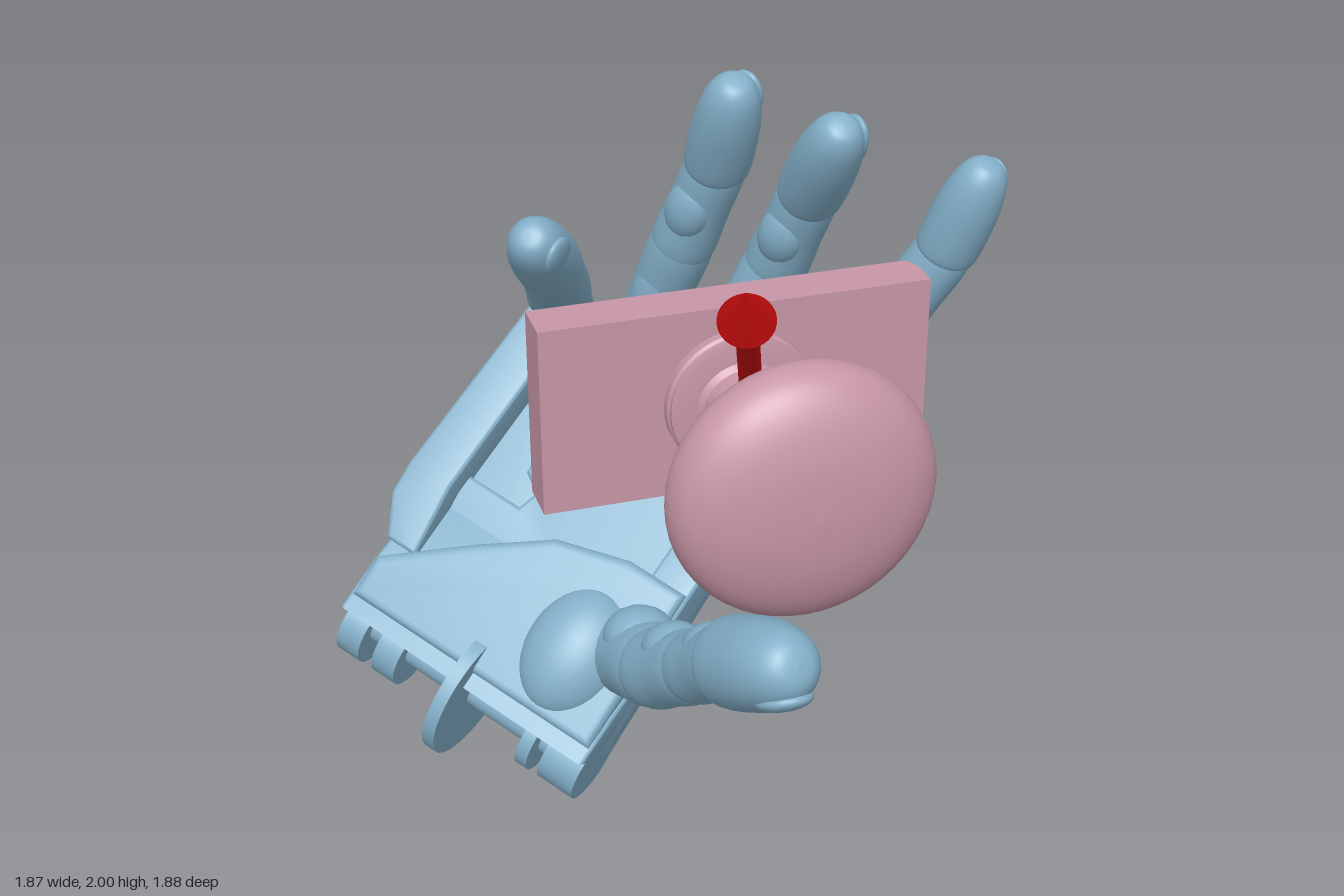
import * as THREE from 'three';
import { toCreasedNormals } from 'three/addons/utils/BufferGeometryUtils.js';

const paint = (color) => new THREE.MeshStandardMaterial({ color, side: THREE.DoubleSide });
const V = (a) => new THREE.Vector3(...a);
const UP = new THREE.Vector3(0, 1, 0);

// Hand frame: U runs wrist to knuckles, Vd from index to little finger, W out of the palm
const U = new THREE.Vector3(0.65, 0.70, -0.29).normalize();
const W = new THREE.Vector3(-0.393, 0.64, 0.66).normalize();
const Vd = new THREE.Vector3().crossVectors(W, U).normalize();
W.crossVectors(U, Vd);

export function createModel() {
  const model = new THREE.Group();
  const blue = paint(0x84b0c9), pink = paint(0xc796a6), red = paint(0xc80d0d);

  function add(parent, name, geometry, material) {
    const mesh = new THREE.Mesh(geometry, material);
    mesh.name = name;
    parent.add(mesh);
    return mesh;
  }

  function lathe(points, segments = 28, smooth = 0) {
    let p = points.map(([r, y]) => new THREE.Vector2(r, y));
    if (smooth) p = new THREE.SplineCurve(p).getPoints(smooth).map((q) => q.setX(Math.max(q.x, 0)));
    return new THREE.LatheGeometry(p, segments);
  }

  // Places a part built along +y so that it starts at a and points to b
  function aim(mesh, a, b) {
    mesh.position.copy(a);
    mesh.quaternion.setFromUnitVectors(UP, b.clone().sub(a).normalize());
  }

  // Basis with y along a finger and z towards a given side
  function facing(mesh, dir, side) {
    const z = side.clone().addScaledVector(dir, -side.dot(dir)).normalize();
    const x = new THREE.Vector3().crossVectors(dir, z);
    mesh.quaternion.setFromRotationMatrix(new THREE.Matrix4().makeBasis(x, dir, z));
    return z;
  }

  // ---- door plate and knob ----
  const door = new THREE.Group();
  door.name = 'doorKnob';
  model.add(door);
  add(door, 'plate', new THREE.BoxGeometry(1.1, 0.55, 0.135), pink).position.set(0.15, 1.175, -0.122);
  const flange = lathe([[0, -0.055], [0.195, -0.055], [0.207, -0.045], [0.207, -0.02], [0.2, -0.012],
    [0.2, 0], [0.185, 0.004], [0.13, 0.006], [0.115, 0.02], [0.112, 0.06]], 48);
  add(door, 'knobFlange', toCreasedNormals(flange.rotateX(Math.PI / 2), 0.6), pink).position.set(0.145, 1.18, 0);
  const bulb = lathe([[0.112, 0.03], [0.11, 0.1], [0.116, 0.17], [0.15, 0.22], [0.232, 0.3], [0.32, 0.39],
    [0.357, 0.46], [0.335, 0.535], [0.26, 0.59], [0.14, 0.624], [0, 0.634]], 48, 50);
  add(door, 'knob', bulb.rotateX(Math.PI / 2), pink).position.set(0.145, 1.18, 0);

  // ---- direction arrow ----
  const arrow = new THREE.Group();
  arrow.name = 'arrow';
  const tail = V([0.12, 1.28, 0.145]), point = V([-0.035, 1.78, 0.535]);
  const len = tail.distanceTo(point);
  const arrowShape = lathe([[0, 0], [0.03, 0], [0.03, len - 0.16], [0.073, len - 0.16], [0, len]]);
  add(arrow, 'arrowBody', toCreasedNormals(arrowShape, 0.6), red);
  aim(arrow, tail, point);
  model.add(arrow);

  // ---- palm, modelled in its own frame ----
  const palm = new THREE.Group();
  palm.name = 'palm';
  palm.quaternion.setFromRotationMatrix(new THREE.Matrix4().makeBasis(U, Vd, W));
  palm.position.set(-0.3, 0.005, 0);
  model.add(palm);

  function extrude(points, depth, bevel = 0.012) {
    const shape = new THREE.Shape(points.map(([x, y]) => new THREE.Vector2(x, y)));
    return toCreasedNormals(new THREE.ExtrudeGeometry(shape, {
      depth: depth - 2 * bevel, bevelSize: bevel, bevelThickness: bevel, bevelSegments: 3, bevelOffset: -bevel,
    }).translate(0, 0, bevel), 0.6);
  }

  // Back plate with slots between the knuckles
  add(palm, 'backPlate', extrude([[0.08, 0], [1.14, 0], [1.16, 0.03], [1.16, 0.12], [1.13, 0.14], [1.0, 0.15], [1.0, 0.175],
    [1.13, 0.185], [1.17, 0.21], [1.17, 0.36], [1.13, 0.38], [1.0, 0.39], [1.0, 0.415], [1.13, 0.425], [1.16, 0.45],
    [1.16, 0.62], [0.66, 0.64], [0.62, 0.58], [0.56, 0.6], [0.56, 0.85], [0.08, 0.85]], 0.13), blue);
  // Thin floor of the hollow beside the little finger
  add(palm, 'sideWeb', extrude([[0.42, 0.58], [1.1, 0.6], [1.1, 0.84], [0.5, 0.92], [0.4, 0.9]], 0.04, 0.005), blue)
    .position.z = 0.06;
  add(palm, 'littleFingerBeam', extrude([[0.28, 0.76], [0.5, 0.78], [1.12, 0.74], [1.17, 0.78], [1.15, 0.86], [1.08, 0.88],
    [0.5, 0.93], [0.4, 0.925], [0.28, 0.86]], 0.18), blue).position.z = 0.04;
  // Raised heel of the hand and the socket that carries the thumb
  add(palm, 'thumbMound', extrude([[0.09, 0.01], [0.09, 0.85], [0.22, 0.85], [0.4, 0.62], [0.54, 0.42], [0.6, 0.2],
    [0.6, 0.01]], 0.25, 0.025), blue);
  const socket = add(palm, 'thumbSocket', new THREE.SphereGeometry(1, 32, 20), blue);
  socket.scale.set(0.2, 0.15, 0.13);
  socket.position.set(0.3, 0.2, 0.2);

  // Slabs with a (u, w) profile running along v
  function slab(name, profile, v0, v1) {
    const mesh = add(palm, name, extrude(profile, v1 - v0), blue);
    mesh.rotation.x = Math.PI / 2;
    mesh.position.y = v1;
  }
  slab('wristBlock', [[0.11, 0], [0.5, 0], [0.45, 0.13], [0.3, 0.19], [0.2, 0.22], [0.04, 0.235], [0.05, 0.18], [0.12, 0.13]], 0, 0.86);
  slab('indexRidge', [[0.3, 0], [1.12, 0], [1.13, 0.1], [1.0, 0.16], [0.6, 0.22], [0.3, 0.23]], 0, 0.13);

  // Wrist hinge: lugs, wheel and pin on one axis, with bridges into the wrist
  [[0, 0.12], [0.16, 0.2], [0.415, 0.455, 0.21], [0.64, 0.72], [0.77, 0.85], [0.02, 0.83, 0.05]].forEach(([v0, v1, r = 0.11]) => {
    const lug = add(palm, r > 0.05 ? 'hingeLug' : 'hingePin', new THREE.CylinderGeometry(r, r, v1 - v0, 40), blue);
    lug.position.set(0.05 - 0.02 * v0, (v0 + v1) / 2, 0.105 - 0.04 * v0);
    if (r === 0.11) {
      add(palm, 'lugBridge', new THREE.BoxGeometry(0.1, v1 - v0, 0.2), blue).position.set(0.1, (v0 + v1) / 2, 0.105);
    }
  });

  // ---- digits ----
  function digit(name, pts, radii, side) {
    const group = new THREE.Group();
    group.name = name;
    model.add(group);
    const p = pts.map(V), last = p.length - 1;
    for (let i = 0; i < last; i++) {
      const a = p[i], b = p[i + 1], L = a.distanceTo(b), r0 = radii[i], r1 = radii[i + 1];
      const dir = b.clone().sub(a).normalize();
      if (i < last - 1) {
        // Bone with rounded ends and a shallow pad on the gripping side
        const bone = add(group, 'bone', lathe([[0, -0.8 * r0], [0.65 * r0, -0.6 * r0], [0.98 * r0, 0], [(r0 + r1) * 0.49, L * 0.5],
          [0.98 * r1, L], [0.65 * r1, L + 0.6 * r1], [0, L + 0.8 * r1]], 24, 28), blue);
        aim(bone, a, b);
        const pad = add(group, 'pad', new THREE.SphereGeometry(1, 20, 14), blue);
        const out = facing(pad, dir, side);
        pad.scale.set(r0 * 0.75, L * 0.34, r0 * 0.62);
        pad.position.lerpVectors(a, b, 0.52).addScaledVector(out, r0 * 0.5);
      } else {
        // Fingertip sleeve with a nail on the outer side
        const r = r1;
        const tip = add(group, 'fingertip', lathe([[0.85 * r, 0], [r, 0.012], [1.03 * r, L * 0.3], [0.97 * r, L * 0.6],
          [0.78 * r, L * 0.84], [0.45 * r, L * 0.97], [0, L]], 28, 28), blue);
        aim(tip, a, b);
        const nail = add(group, 'nail', new THREE.SphereGeometry(1, 20, 12), blue);
        const out = facing(nail, dir, side.clone().negate());
        nail.scale.set(r * 0.62, L * 0.24, r * 0.25);
        nail.position.lerpVectors(a, b, 0.7).addScaledVector(out, r * 0.7);
      }
    }
  }

  const slim = [0.088, 0.094, 0.086, 0.092];
  digit('indexFinger', [[0.40, 0.88, -0.34], [0.645, 1.18, -0.285], [0.79, 1.47, -0.175], [0.86, 1.765, -0.07]],
    [0.088, 0.092, 0.084, 0.088], W);
  digit('middleFinger', [[0.24, 0.99, -0.55], [0.39, 1.37, -0.44], [0.435, 1.63, -0.31], [0.44, 1.915, -0.08]], slim, W);
  digit('ringFinger', [[0.07, 1.06, -0.72], [0.15, 1.42, -0.56], [0.21, 1.69, -0.44], [0.215, 1.99, -0.285]], slim, W);
  digit('littleFinger', [[-0.13, 1.1, -0.85], [-0.235, 1.37, -0.5], [-0.32, 1.56, -0.2], [-0.43, 1.765, 0.04]],
    [0.09, 0.092, 0.083, 0.086], W);
  digit('thumb', [[-0.17, 0.4, -0.08], [-0.16, 0.515, 0.2], [-0.12, 0.665, 0.43], [-0.09, 0.81, 0.63], [-0.02, 0.975, 0.925]],
    [0.135, 0.114, 0.1, 0.1, 0.118], V([0, 0.9, -0.4]));

  return model;
}
